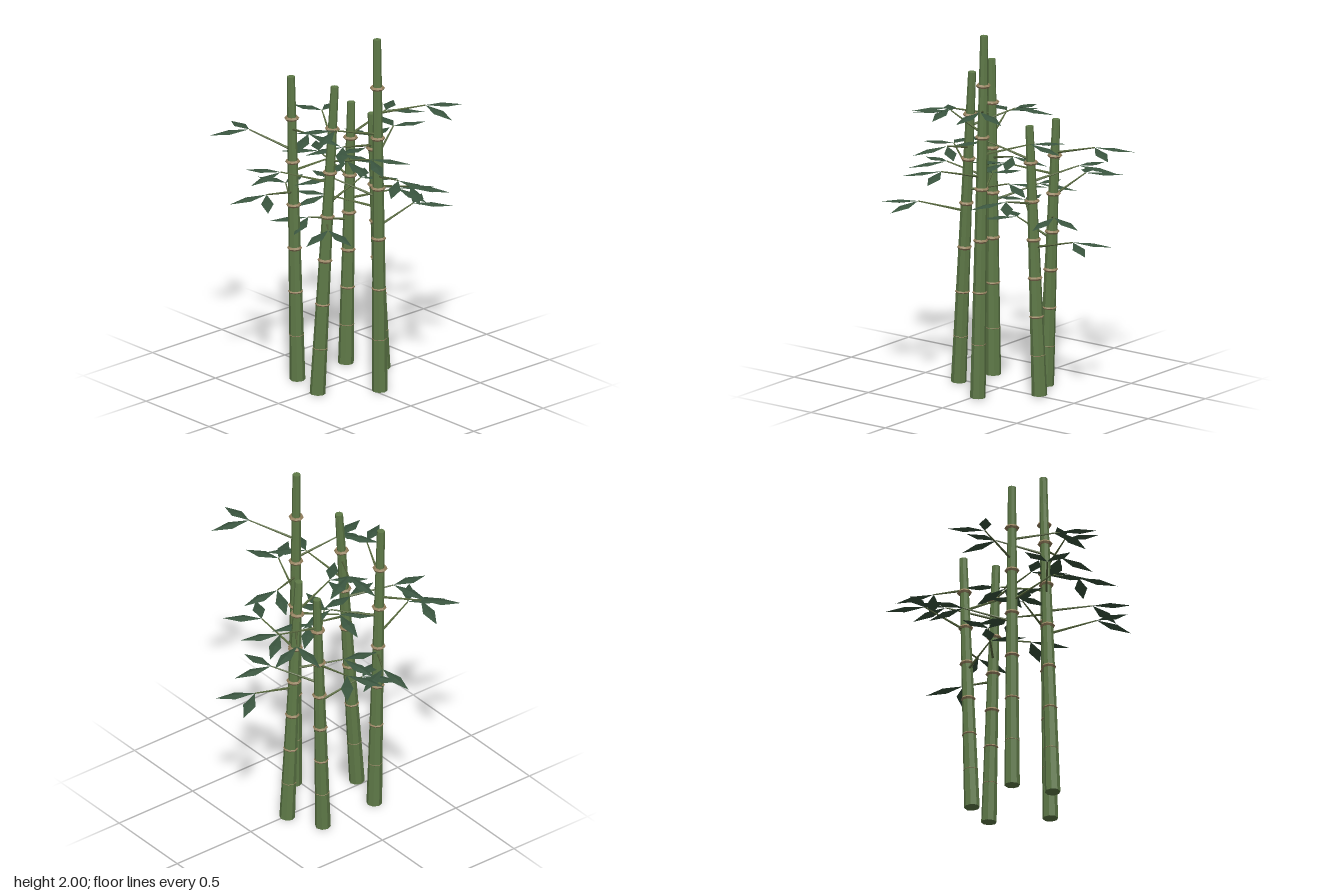
import * as THREE from 'three';

const mat = (name, color) => {
  const m = new THREE.MeshStandardMaterial({ color, flatShading: true });
  m.name = name;
  return m;
};

const UP = new THREE.Vector3(0, 1, 0);
const GOLDEN = THREE.MathUtils.degToRad(137.5);

// Stalks: base x/z, top x/z and height
const STALKS = [
  { base: [0.26, -0.01], top: [0.187, -0.017], height: 1.48 },
  { base: [-0.19, -0.19], top: [-0.218, -0.212], height: 1.74 },
  { base: [0.026, 0.225], top: [0.04, 0.188], height: 2.0 },
  { base: [0.163, -0.195], top: [0.217, -0.212], height: 1.48 },
  { base: [-0.25, 0.035], top: [-0.144, 0.055], height: 1.74 },
];

export function createModel() {
  const model = new THREE.Group();
  model.name = 'bambooCluster';

  const stalkMat = mat('stalkGreen', 0x5f7a48);
  const ringMat = mat('nodeTan', 0x96825f);
  const twigMat = mat('twigOlive', 0x5a6b40);
  const leafMat = mat('leafGreen', 0x3a553f);

  // Shared shapes: ring lies flat, leaf starts at its stem and runs along +x
  const ringGeo = new THREE.TorusGeometry(0.03, 0.0105, 5, 8).rotateX(Math.PI / 2);
  const leafGeo = new THREE.OctahedronGeometry(1).scale(0.107, 0.009, 0.034).translate(0.107, 0, 0);

  // Straight tapered rod between two points
  const rod = (name, a, b, r0, r1, sides, material) => {
    const dir = b.clone().sub(a);
    const mesh = new THREE.Mesh(new THREE.CylinderGeometry(r1, r0, dir.length(), sides), material);
    mesh.name = name;
    mesh.position.copy(a).addScaledVector(dir, 0.5);
    mesh.quaternion.setFromUnitVectors(UP, dir.normalize());
    return mesh;
  };

  STALKS.forEach(({ base, top, height }, index) => {
    const plant = new THREE.Group();
    plant.name = 'bambooPlant';
    const a = new THREE.Vector3(base[0], 0.002, base[1]);
    const b = new THREE.Vector3(top[0], height - 0.001, top[1]);
    const at = (y) => a.clone().lerp(b, y / height);

    const stalk = rod('stalk', a, b, 0.042, 0.0215, 8, stalkMat);
    plant.add(stalk);

    // Node rings at every seventh of the height
    for (let i = 1; i < 7; i++) {
      const ring = new THREE.Mesh(ringGeo, ringMat);
      ring.name = 'nodeRing';
      ring.position.copy(at((i * height) / 7 + 0.01));
      ring.quaternion.copy(stalk.quaternion);
      plant.add(ring);
    }

    // Five twigs spiralling up by the golden angle, two leaves each
    for (let i = 0; i < 5; i++) {
      const angle = index + i * GOLDEN;
      const start = at(height * 0.55 + i * 0.12);
      const end = start.clone().add(
        new THREE.Vector3(Math.cos(angle) * 0.262, 0.07, -Math.sin(angle) * 0.262));
      plant.add(rod('twig', start, end, 0.0075, 0.0035, 5, twigMat));
      for (const side of [-1, 1]) {
        const leaf = new THREE.Mesh(leafGeo, leafMat);
        leaf.name = 'leaf';
        leaf.position.copy(end);
        leaf.rotation.set(0, angle + side * 0.61, -0.12, 'YXZ');
        plant.add(leaf);
      }
    }
    model.add(plant);
  });

  return model;
}
